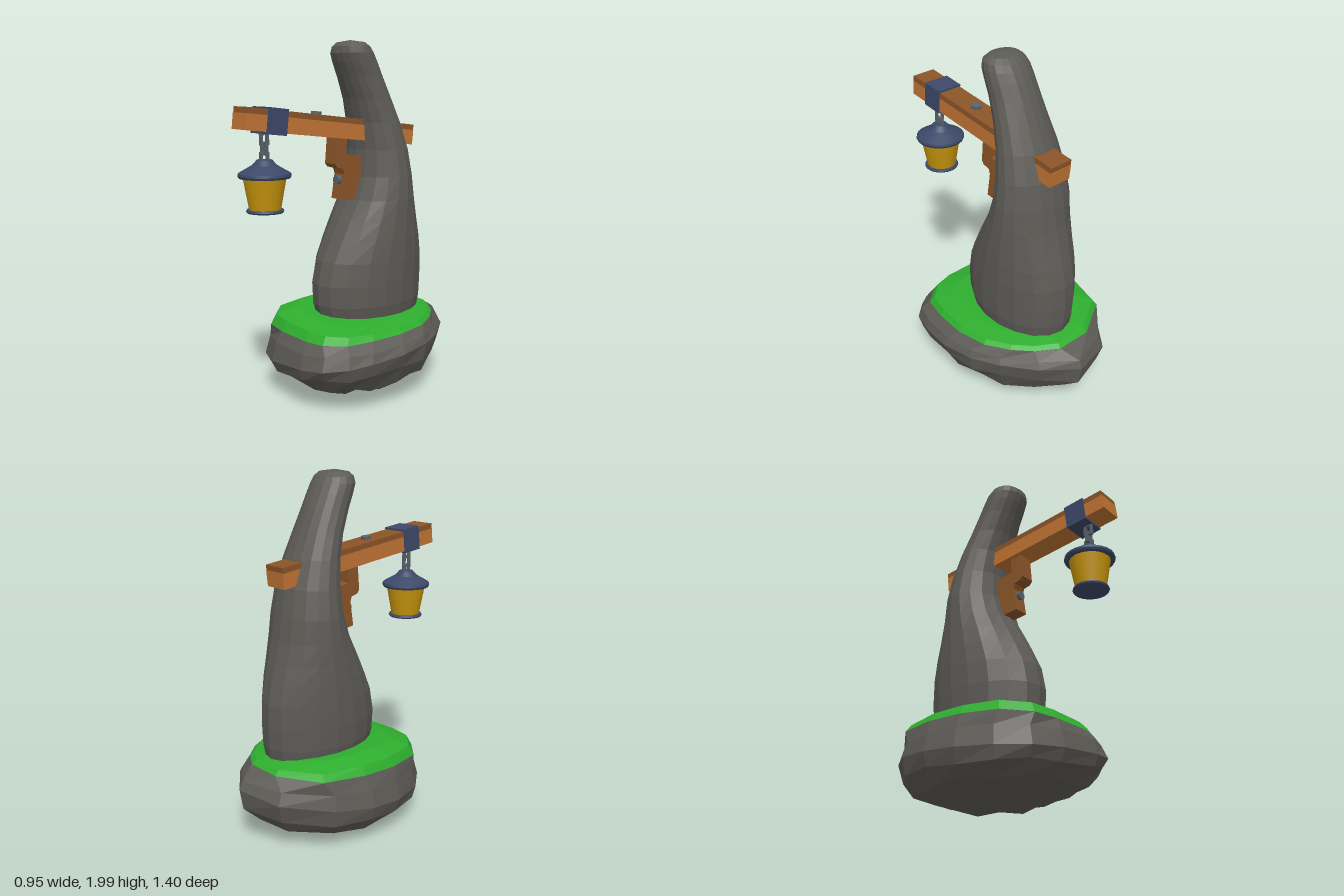
import * as THREE from 'three';

const mat = (color, flatShading = false) => new THREE.MeshStandardMaterial({ color, flatShading });
const STONE = mat(0x5d5b56, true), GRASS = mat(0x2eae2e, true);
const WOOD = mat(0xc07434), DARK_WOOD = mat(0x8a5428);
const IRON = mat(0x3c4868), STEEL = mat(0x59636b), GLASS = mat(0xc8960c);

function add(parent, name, geometry, material, x = 0, y = 0, z = 0) {
  const mesh = new THREE.Mesh(geometry, material);
  mesh.name = name;
  mesh.position.set(x, y, z);
  parent.add(mesh);
  return mesh;
}

// Skin a stack of rings (listed from bottom to top), closed by a point at each end
function loft(rings, bottom, top) {
  const n = rings[0].length, pos = [...rings.flat(2), ...bottom, ...top], index = [];
  const b = n * rings.length, last = n * (rings.length - 1);
  for (let j = 0; j < n; j++) {
    const k = (j + 1) % n;
    for (let i = 0; i < last; i += n) index.push(i + j, i + n + j, i + k, i + k, i + n + j, i + n + k);
    index.push(b, j, k, b + 1, last + k, last + j);
  }
  const g = new THREE.BufferGeometry();
  g.setAttribute('position', new THREE.Float32BufferAttribute(pos, 3));
  g.setIndex(index);
  const flat = g.toNonIndexed();
  flat.computeVertexNormals();
  return flat;
}

// Plan outlines [x, z], starting at the back and running over +x
const ROCK = [[.03, -.7], [.22, -.56], [.36, -.38], [.44, -.22], [.475, -.03], [.45, .18], [.41, .31], [.31, .41],
  [.16, .445], [-.12, .435], [-.29, .365], [-.41, .22], [-.475, .02], [-.48, -.18], [-.41, -.4], [-.22, -.63]];
const TURF = [[.08, -.58], [.2, -.5], [.29, -.4], [.37, -.26], [.4, -.07], [.385, .12], [.35, .27], [.25, .36],
  [.14, .385], [-.1, .38], [-.25, .35], [-.38, .23], [-.43, .02], [-.425, -.2], [-.36, -.44], [-.13, -.58]];

// Outline scaled about the rock's centre, tilted in height, with an optional uneven surface
function ring(outline, s, y, tiltX = 0, tiltZ = 0, rough = 0) {
  return outline.map(([x, z], j) => {
    const r = s * (1 + rough * Math.sin(j * 2.3 + y * 40));
    const px = x * r, pz = (z + 0.12) * r - 0.12;
    return [px, y + px * tiltX + pz * tiltZ + rough * 0.5 * Math.sin(j * 4.1 + y * 25), pz];
  });
}

function addBase(model) {
  const rock = [
    ring(ROCK, 0.45, 0.045, 0.03, 0, 0.04),
    ring(ROCK, 0.8, 0.11, 0.06, 0, 0.03),
    ring(ROCK, 0.95, 0.195, 0.1, -0.04, 0.015),
    ring(ROCK, 1, 0.275, 0.1, -0.08),
    ring(ROCK, 0.955, 0.35, 0.04, -0.04, 0.01),
    ring(TURF, 1, 0.41, 0, -0.04),
  ];
  add(model, 'baseRock', loft(rock, [-0.03, 0.01, -0.13], [0, 0.42, -0.12]), STONE);
  const turf = [
    ring(TURF, 1, 0.408, 0, -0.04),
    ring(TURF, 0.94, 0.45, -0.03, -0.01),
    ring(TURF, 0.72, 0.478, -0.07, 0),
  ];
  add(model, 'grassTop', loft(turf, [0, 0.4, -0.12], [0, 0.485, -0.12]), GRASS);
}

// Curved standing stone: [y, front z, back z, min x, max x]
function addPillar(model) {
  const sections = [
    [0.45, 0.17, -0.5, -0.225, 0.225], [0.53, 0.193, -0.515, -0.24, 0.24], [0.65, 0.198, -0.52, -0.247, 0.245],
    [0.78, 0.17, -0.515, -0.247, 0.248], [0.9, 0.11, -0.49, -0.245, 0.248], [1.0, 0.055, -0.462, -0.24, 0.245],
    [1.12, -0.015, -0.432, -0.234, 0.24], [1.25, -0.06, -0.412, -0.225, 0.23], [1.4, -0.073, -0.382, -0.2, 0.21],
    [1.55, -0.06, -0.33, -0.172, 0.185], [1.68, -0.025, -0.272, -0.147, 0.163], [1.8, 0.022, -0.217, -0.132, 0.147],
    [1.88, 0.058, -0.178, -0.127, 0.144], [1.93, 0.075, -0.15, -0.122, 0.142], [1.965, 0.07, -0.125, -0.105, 0.133],
    [1.988, 0.045, -0.095, -0.075, 0.105],
  ];
  const n = 18;
  const rings = sections.map(([y, f, b, x0, x1]) => Array.from({ length: n }, (_, j) => {
    const a = (j / n) * Math.PI * 2;
    return [(x0 + x1) / 2 + (x1 - x0) / 2 * Math.sin(a), y, (f + b) / 2 - (f - b) / 2 * Math.cos(a)];
  }));
  add(model, 'stonePillar', loft(rings, [0, 0.45, -0.16], [0.015, 2, -0.02]), STONE);
}

function addBeam(model) {
  // Sloping beam through the pillar, with a darker upper plank and an iron band
  const beam = new THREE.Group();
  beam.name = 'beam';
  beam.position.set(0.005, 1.533, 0.122);
  beam.rotation.x = -0.114;
  model.add(beam);
  add(beam, 'beamLower', new THREE.BoxGeometry(0.14, 0.085, 1.145), WOOD, 0, -0.015, 0);
  add(beam, 'beamUpper', new THREE.BoxGeometry(0.14, 0.032, 1.14), DARK_WOOD, 0, 0.0425, 0);
  add(beam, 'ironBand', new THREE.BoxGeometry(0.152, 0.138, 0.125), IRON, 0, 0, 0.39);
  add(beam, 'beamBolt', new THREE.CylinderGeometry(0.028, 0.028, 0.02, 12), STEEL, 0, 0.066, 0.095);

  // Stepped bracket under the beam, drawn as [z, y] and extruded across x
  const side = [[0.1, 1.5], [0.115, 1.33], [0.1, 1.31], [0.058, 1.3], [0.048, 1.27], [0.07, 1.13],
    [-0.02, 1.12], [-0.1, 1.2], [-0.1, 1.36], [0.035, 1.38], [0.03, 1.5]];
  const shape = new THREE.Shape(side.map(([z, y]) => new THREE.Vector2(-z, y)));
  const bracket = new THREE.ExtrudeGeometry(shape, { depth: 0.09, bevelEnabled: false });
  bracket.translate(0, 0, -0.045).rotateY(Math.PI / 2);
  add(model, 'bracket', bracket, DARK_WOOD, 0.005);
  const bolt = add(model, 'bracketBolt', new THREE.CylinderGeometry(0.026, 0.026, 0.025, 12), STEEL, 0.005, 1.235, 0.062);
  bolt.rotation.x = Math.PI / 2;
}

// Rectangular chain link with an open middle
function linkGeometry(w, h, t) {
  const rect = (a, b, Type) => new Type([[-a, -b], [a, -b], [a, b], [-a, b]].map(p => new THREE.Vector2(...p)));
  const shape = rect(w / 2, h / 2, THREE.Shape);
  shape.holes.push(rect(w / 2 - t, h / 2 - t, THREE.Path));
  return new THREE.ExtrudeGeometry(shape, { depth: t * 1.4, bevelEnabled: false }).translate(0, 0, -t * 0.7);
}

function addLantern(model) {
  const lantern = new THREE.Group();
  lantern.name = 'lantern';
  lantern.position.set(0.005, 0, 0.547);
  model.add(lantern);
  const lathe = (name, points, material) => {
    // Repeated points give each profile step its own crisp normals
    const g = new THREE.Group();
    g.name = name;
    lantern.add(g);
    for (let i = 1; i < points.length; i++) {
      const pair = [points[i - 1], points[i]].map(p => new THREE.Vector2(...p));
      add(g, name + 'Band', new THREE.LatheGeometry(pair, 24), material);
    }
  };
  lathe('lanternRoof', [[0, 1.285], [0.135, 1.285], [0.141, 1.297], [0.138, 1.31], [0.065, 1.352], [0.04, 1.38], [0, 1.38]], IRON);
  lathe('lanternGlass', [[0, 1.115], [0.083, 1.115], [0.115, 1.29], [0, 1.29]], GLASS);
  lathe('lanternFoot', [[0, 1.103], [0.096, 1.103], [0.1, 1.11], [0.096, 1.12], [0, 1.12]], IRON);

  // Three links, alternately turned, up to the band
  [[1.392, 0.055, 1], [1.437, 0.07, 0], [1.487, 0.065, 1]].forEach(([y, h, turned]) => {
    const link = add(lantern, 'chainLink', linkGeometry(0.052, h, 0.013), STEEL, 0, y, 0);
    link.rotation.y = turned ? Math.PI / 2 : 0;
  });
}

export function createModel() {
  const model = new THREE.Group();
  model.name = 'stoneLanternPost';
  addBase(model);
  addPillar(model);
  addBeam(model);
  addLantern(model);
  return model;
}
